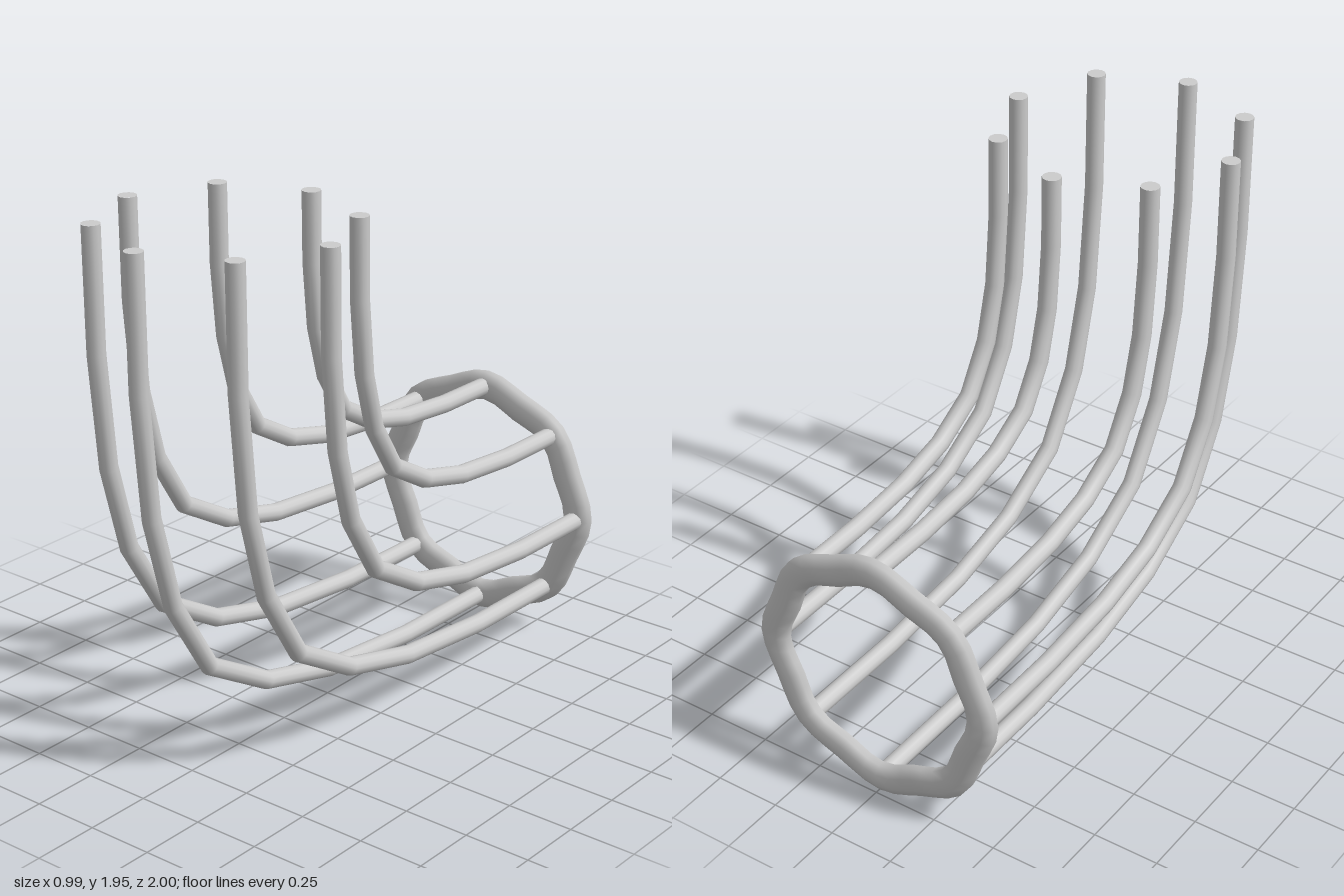
import * as THREE from 'three';
import { mergeVertices } from 'three/addons/utils/BufferGeometryUtils.js';

const CENTER_Y = 0.5, RADIUS = 0.44, ROD = 0.034, COUNT = 8;
const BACK = -0.967, TOP = 1.955, FRONT_AXIS = 0.527;

// Normalised bend, symmetric about its diagonal
const BEND = [0, 0.003, 0.025, 0.073, 0.165, 0.32, 0.505, 0.743, 1];

// Curve that keeps its straight spans and mitres its joints
class BentPath extends THREE.Curve {
  constructor(points) {
    super();
    this.points = points;
  }
  getPointAt(u, target = new THREE.Vector3()) {
    return target.copy(this.points[Math.round(u * (this.points.length - 1))]);
  }
  getTangentAt(u, target = new THREE.Vector3()) {
    const p = this.points, last = p.length - 1, i = Math.round(u * last);
    target.set(0, 0, 0);
    if (i > 0) target.add(p[i].clone().sub(p[i - 1]).normalize());
    if (i < last) target.add(p[i + 1].clone().sub(p[i]).normalize());
    return target.normalize();
  }
}

// Rod dropping from its free end and sweeping back to the ring
function makeRod(angle, material) {
  const x = RADIUS * Math.sin(angle), d = RADIUS * Math.cos(angle);
  const zStart = FRONT_AXIS - d, yEnd = CENTER_Y + d, n = BEND.length - 1;
  const points = BEND.map((u, i) => new THREE.Vector3(
    x,
    THREE.MathUtils.lerp(TOP, yEnd, 1 - BEND[n - i]),
    THREE.MathUtils.lerp(zStart, BACK, u)
  ));
  const rod = new THREE.Group();
  rod.name = 'bentRod';
  const tube = new THREE.Mesh(new THREE.TubeGeometry(new BentPath(points), n, ROD, 12), material);
  tube.name = 'rodTube';
  const cap = new THREE.Mesh(new THREE.CircleGeometry(ROD, 12), material);
  cap.name = 'rodEndCap';
  cap.rotation.x = -Math.PI / 2;
  cap.position.copy(points[0]);
  rod.add(tube, cap);
  return rod;
}

// Flattened ring, softly eight-cornered where the rods join it
function makeRing(material) {
  const profile = [];
  for (let i = 0; i <= 8; i++) {
    const a = (i + 0.5) * Math.PI / 4;
    profile.push(new THREE.Vector2(RADIUS + 0.0595 * Math.cos(a), 0.0357 * Math.sin(a)));
  }
  let ring = new THREE.LatheGeometry(profile, 48);
  ring.rotateX(Math.PI / 2);
  const pos = ring.attributes.position;
  for (let i = 0; i < pos.count; i++) {
    const a = Math.atan2(pos.getY(i), pos.getX(i));
    const r = Math.hypot(pos.getX(i), pos.getY(i)) - 0.012 * (1 - Math.cos(COUNT * a));
    pos.setXY(i, r * Math.cos(a), r * Math.sin(a));
  }
  ring.deleteAttribute('normal');
  ring.deleteAttribute('uv');
  ring = mergeVertices(ring, 1e-4);
  ring.computeVertexNormals();
  const mesh = new THREE.Mesh(ring, material);
  mesh.name = 'backRing';
  mesh.position.set(0, CENTER_Y, BACK);
  return mesh;
}

export function createModel() {
  const model = new THREE.Group();
  model.name = 'bentRodCage';
  const material = new THREE.MeshStandardMaterial({ color: 0xcccccc });
  model.add(makeRing(material));
  for (let i = 0; i < COUNT; i++) model.add(makeRod(i * 2 * Math.PI / COUNT, material));
  return model;
}
